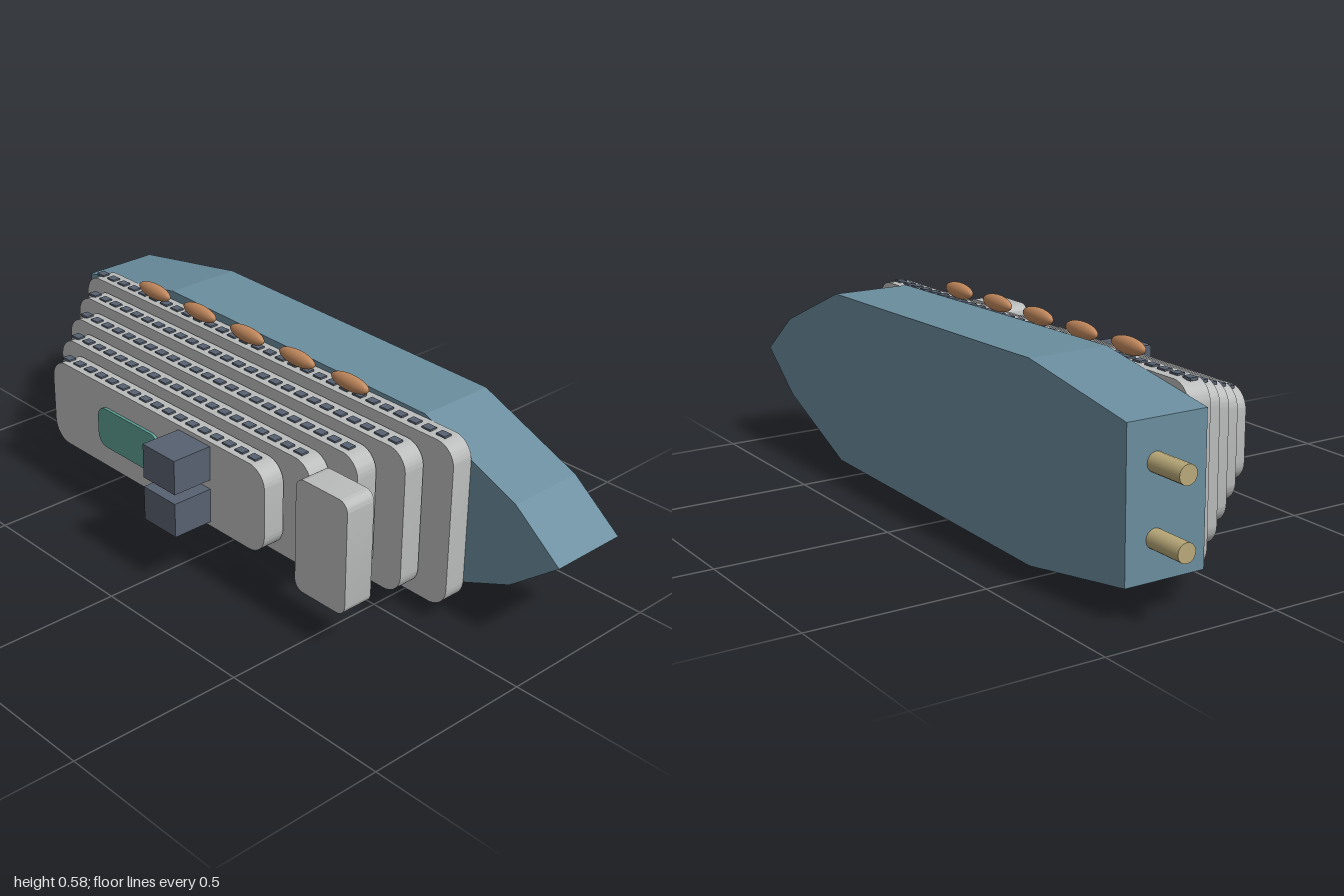
import * as THREE from 'three';
import { toCreasedNormals } from 'three/addons/utils/BufferGeometryUtils.js';

const MID = 0.2925; // height of the ship's centreline; its decks stack along +z

function material(name, color) {
  const m = new THREE.MeshStandardMaterial({ color });
  m.name = name;
  return m;
}

// Slab with rounded corners, centred on (x, y) and running from z0 to z1
function roundedSlab(x0, x1, halfHeight, radius, z0, z1) {
  const h = halfHeight, r = radius;
  const s = new THREE.Shape();
  s.moveTo(x0 + r, -h);
  s.lineTo(x1 - r, -h);
  s.absarc(x1 - r, -h + r, r, -Math.PI / 2, 0, false);
  s.absarc(x1 - r, h - r, r, 0, Math.PI / 2, false);
  s.absarc(x0 + r, h - r, r, Math.PI / 2, Math.PI, false);
  s.absarc(x0 + r, -h + r, r, Math.PI, Math.PI * 1.5, false);
  const g = new THREE.ExtrudeGeometry(s, { depth: z1 - z0, bevelEnabled: false, curveSegments: 8 });
  g.translate(0, MID, z0);
  return toCreasedNormals(g, 0.6);
}

export function createModel() {
  const ship = new THREE.Group();
  ship.name = 'ship';
  const hullBlue = material('hull blue', 0x6a8d9e);
  const deckGrey = material('deck grey', 0xb9bbba);
  const slate = material('slate', 0x576170);
  const orange = material('boat orange', 0xc0875c);
  const teal = material('pool teal', 0x5c9c92);
  const brass = material('shaft brass', 0xb8a878);

  const add = (name, geometry, mat, x = 0, y = 0, z = 0, parent = ship) => {
    const mesh = new THREE.Mesh(geometry, mat);
    mesh.name = name;
    mesh.position.set(x, y, z);
    parent.add(mesh);
    return mesh;
  };

  // Hull: half outline mirrored about the centreline
  const half = [[-0.88, 0.2], [-0.48, 0.2675], [0.535, 0.2505], [0.85, 0.118]];
  const outline = [
    ...half.map(([x, d]) => new THREE.Vector2(x, MID - d)),
    new THREE.Vector2(1, MID),
    ...half.map(([x, d]) => new THREE.Vector2(x, MID + d)).reverse(),
  ];
  const hull = new THREE.ExtrudeGeometry(new THREE.Shape(outline), { depth: 0.233, bevelEnabled: false });
  add('hull', hull, hullBlue, 0, 0, -0.36);

  // Five stepped decks, each with a row of windows along both sides
  const pane = new THREE.BoxGeometry(0.03, 0.008, 0.024);
  for (let i = 0; i < 5; i++) {
    const deck = new THREE.Group();
    deck.name = `deck${i + 1}`;
    ship.add(deck);
    const x0 = -0.81 + 0.055 * i;
    const x1 = 0.697 - 0.0935 * i;
    const h = 0.2405 - 0.028 * i;
    const z0 = -0.127 + 0.0745 * i;
    add('deckSlab', roundedSlab(x0, x1, h, 0.06, z0, z0 + 0.066), deckGrey, 0, 0, 0, deck);
    for (const side of [-1, 1]) {
      for (let k = 0; k < 29 - 3 * i; k++) {
        add('window', pane, slate, x0 + 0.042 + 0.05 * k, MID + side * (h + 0.001), z0 + 0.036, deck);
      }
    }
  }

  // Bridge
  add('bridge', roundedSlab(0.442, 0.626, 0.165, 0.03, 0.147, 0.239), deckGrey);

  // Pool on the top deck
  add('pool', roundedSlab(-0.37, -0.1, 0.061, 0.035, 0.235, 0.246), teal);

  // Funnels, lifeboats and propeller shafts in mirrored pairs
  const funnel = new THREE.BoxGeometry(0.13, 0.101, 0.124);
  const boat = new THREE.SphereGeometry(1, 24, 16).scale(0.069, 0.0235, 0.0185);
  const shaft = new THREE.CylinderGeometry(0.026, 0.026, 0.13, 16).rotateZ(Math.PI / 2);
  for (const side of [-1, 1]) {
    add('funnel', funnel, slate, 0.043, MID + side * 0.0645, 0.298);
    for (let k = 0; k < 5; k++) {
      add('lifeboat', boat, orange, -0.512 + 0.2035 * k, MID + side * 0.269, -0.085);
    }
    add('propellerShaft', shaft, brass, -0.935, MID + side * 0.093, -0.275);
  }
  return ship;
}
